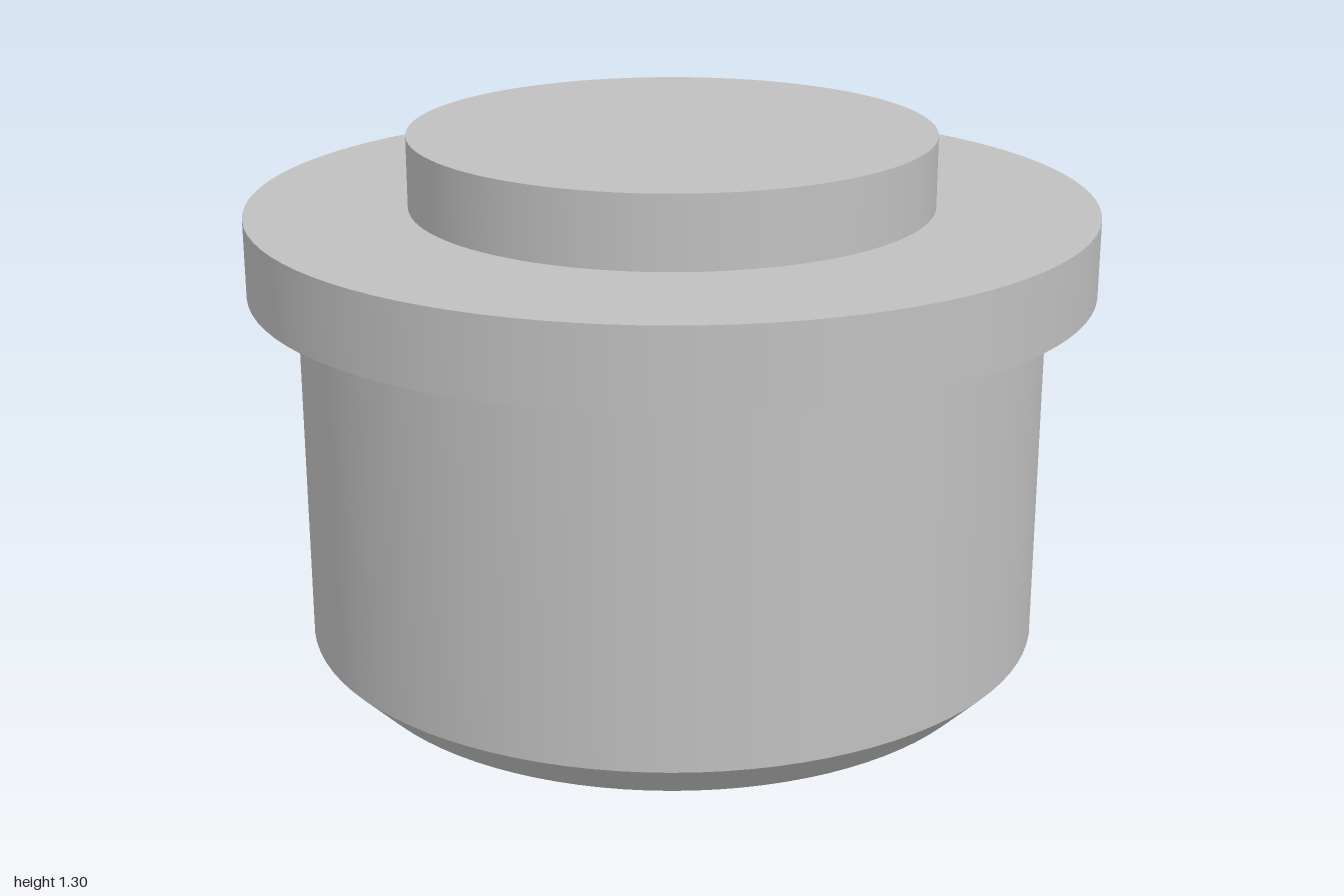
import * as THREE from 'three';

const SEG = 96;

export function createModel() {
  const group = new THREE.Group();
  const grey = new THREE.MeshStandardMaterial({ color: 0xc0c0c0 });
  grey.name = 'grey';

  const add = (name, geometry, x = 0, y = 0) => {
    const mesh = new THREE.Mesh(geometry, grey);
    mesh.name = name;
    mesh.position.set(x, y, 0);
    group.add(mesh);
  };
  // Open round wall between two heights
  const wall = (name, rBottom, rTop, y0, y1) =>
    add(name, new THREE.CylinderGeometry(rTop, rBottom, y1 - y0, SEG, 1, true), 0, (y0 + y1) / 2);
  // Flat ring facing up or down
  const ring = (name, inner, outer, y, up) =>
    add(name, new THREE.RingGeometry(inner, outer, SEG).rotateX(up ? -Math.PI / 2 : Math.PI / 2), 0, y);

  // Body with chamfered foot
  wall('chamfer', 0.79, 0.885, 0, 0.095);
  wall('body', 0.885, 0.885, 0.095, 0.95);

  // Flange
  ring('flangeUnderside', 0.885, 1, 0.95, false);
  wall('flangeRim', 1, 1, 0.95, 1.135);
  ring('flangeTop', 0.62, 1, 1.135, true);

  // Raised button
  wall('buttonWall', 0.62, 0.62, 1.135, 1.305);
  add('buttonTop', new THREE.CircleGeometry(0.62, SEG).rotateX(-Math.PI / 2), 0, 1.305);

  // Base with three shallow blind holes in a row
  const holeRadius = 0.1, holeDepth = 0.065;
  const base = new THREE.Shape().absarc(0, 0, 0.79, 0, Math.PI * 2, false);
  for (const x of [-0.31, 0, 0.31]) {
    base.holes.push(new THREE.Path().absarc(x, 0, holeRadius, 0, Math.PI * 2, true));
    // Inward-facing wall: mirrored in x with its winding and normals reversed
    const sleeve = new THREE.CylinderGeometry(holeRadius, holeRadius, holeDepth, 48, 1, true);
    const index = sleeve.index.array;
    for (let i = 0; i < index.length; i += 3) [index[i], index[i + 1]] = [index[i + 1], index[i]];
    const normals = sleeve.attributes.normal;
    for (let i = 0; i < normals.count; i++) normals.setXYZ(i, -normals.getX(i), 0, -normals.getZ(i));
    add('holeWall', sleeve, x, holeDepth / 2);
    add('holeFloor', new THREE.CircleGeometry(holeRadius, 48).rotateX(Math.PI / 2), x, holeDepth);
  }
  add('base', new THREE.ShapeGeometry(base, SEG / 2).rotateX(Math.PI / 2));

  return group;
}
